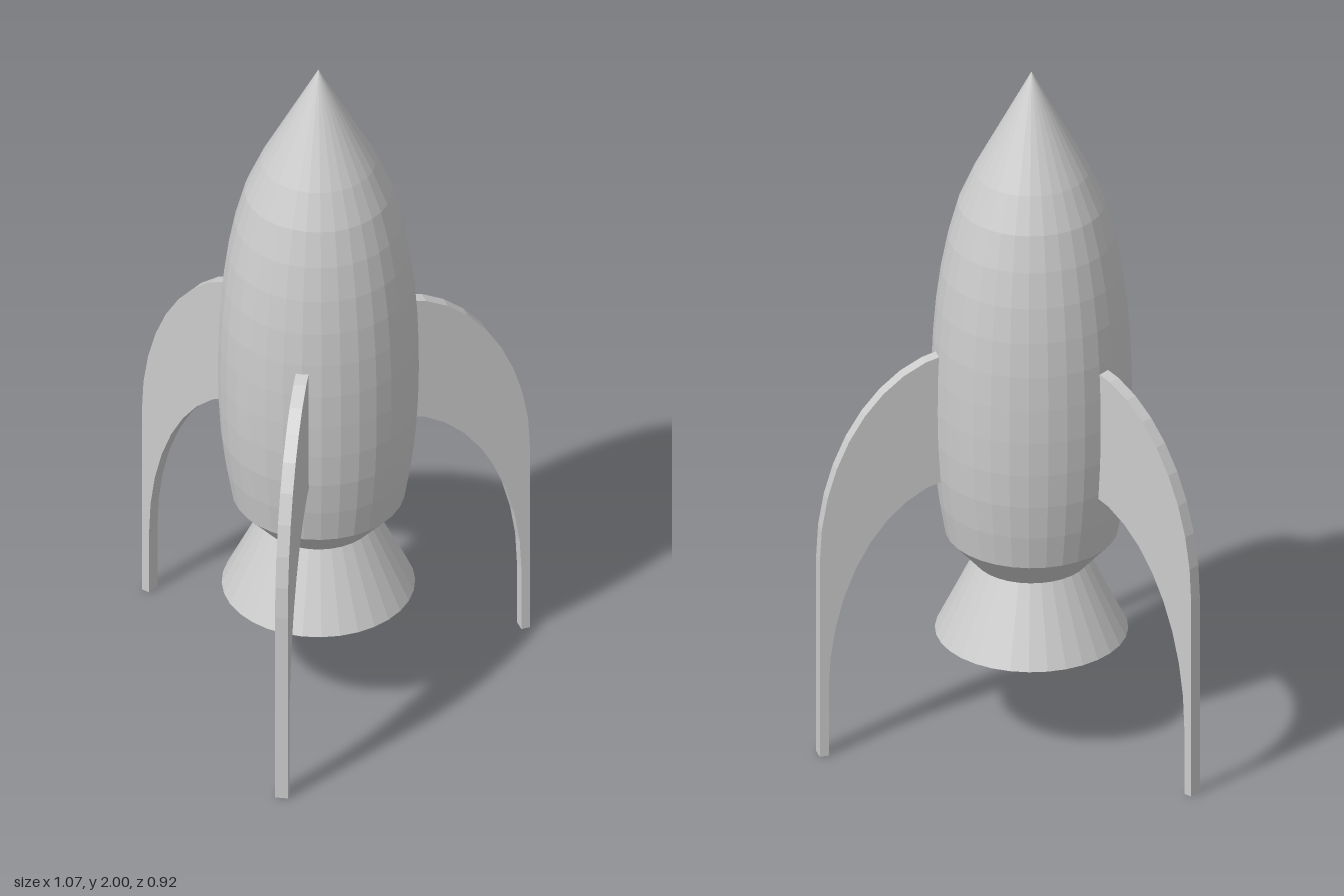
import * as THREE from 'three';

const AXIS_Z = -0.145;

export function createModel() {
  const group = new THREE.Group();
  const mat = new THREE.MeshStandardMaterial({ color: 0xcccccc, flatShading: true });

  const lathe = (name, profile) => {
    const points = profile.map(([r, y]) => new THREE.Vector2(r, y));
    const mesh = new THREE.Mesh(new THREE.LatheGeometry(points, 32), mat);
    mesh.name = name;
    mesh.position.z = AXIS_Z;
    group.add(mesh);
  };

  // Hull: tapered base, bulging barrel, conical nose
  lathe('hull', [
    [0, 0.51], [0.155, 0.51], [0.235, 0.6], [0.252, 0.7], [0.264, 0.8], [0.27, 0.9],
    [0.272, 1.0], [0.271, 1.1], [0.267, 1.2], [0.259, 1.3], [0.246, 1.4],
    [0.227, 1.5], [0.2, 1.6], [0.157, 1.7], [0, 2],
  ]);

  // Hollow exhaust bell, rim at the bottom
  lathe('nozzle', [
    [0, 0.5], [0.12, 0.5], [0.222, 0.295], [0.262, 0.295], [0.155, 0.515],
  ]);

  // Fin outline: two quarter ellipses that meet in a narrow foot
  const arc = (cx, cy, a, b) => {
    const pts = [];
    const start = Math.acos((0.24 - cx) / a);
    for (let i = 0; i <= 9; i++) {
      const t = start * (1 - i / 9);
      pts.push(new THREE.Vector2(cx + a * Math.cos(t), cy + b * Math.sin(t)));
    }
    return pts;
  };
  const outline = [
    ...arc(0.2, 0.6, 0.405, 0.583),
    new THREE.Vector2(0.605, 0),
    new THREE.Vector2(0.58, 0),
    ...arc(0.2, 0.2, 0.38, 0.6).reverse(),
  ];
  const finGeometry = new THREE.ExtrudeGeometry(new THREE.Shape(outline), {
    depth: 0.035, bevelEnabled: false,
  });
  finGeometry.translate(0, 0, -0.0175);

  // Three fins, one facing the front
  ['frontFin', 'leftFin', 'rightFin'].forEach((name, i) => {
    const fin = new THREE.Mesh(finGeometry, mat);
    fin.name = name;
    fin.position.z = AXIS_Z;
    fin.rotation.y = -Math.PI / 2 + (i * 2 * Math.PI) / 3;
    group.add(fin);
  });

  return group;
}
